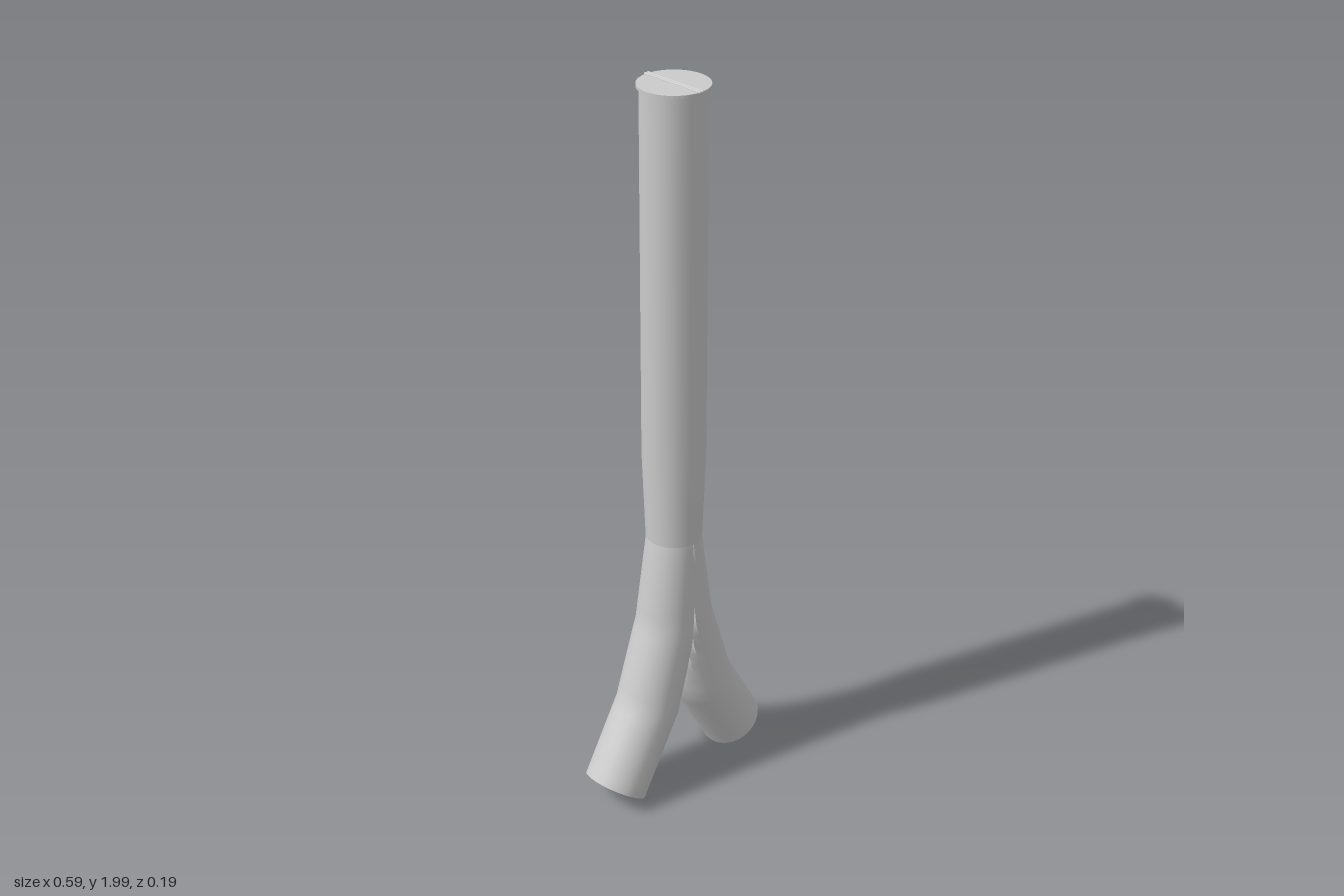
import * as THREE from 'three';
import { toCreasedNormals } from 'three/addons/utils/BufferGeometryUtils.js';

const SIDES = 24;
const WALL = 0.013;
const material = new THREE.MeshStandardMaterial({ color: 0xcccccc });

// Leg sections, top to bottom: centre x, centre y, radius, tilt
const SECTIONS = [
  [0, 0.76, 0.073, 0],
  [0.027, 0.505, 0.083, 0.2],
  [0.1, 0.267, 0.087, 0.42],
  [0.222, 0.057, 0.087, 0.586],
];
const STEPS = 8;

// Hollow bent leg, trimmed where it meets its twin on the centre plane
function legGeometry(side) {
  const rings = [];
  const last = (SECTIONS.length - 1) * STEPS;
  for (let i = 0; i <= last; i++) {
    const k = Math.min(Math.floor(i / STEPS), SECTIONS.length - 2);
    const t = i / STEPS - k;
    rings.push(SECTIONS[k].map((v, n) => THREE.MathUtils.lerp(v, SECTIONS[k + 1][n], t)));
  }
  // Down the outside, round the lip and back up the inside
  const inner = rings.map(([x, y, r, a]) => [x, y, r - WALL, a]).reverse();
  const path = [...rings, ...inner];

  const positions = [];
  const index = [];
  path.forEach(([x, y, r, a], i) => {
    for (let j = 0; j < SIDES; j++) {
      const angle = (j / SIDES) * Math.PI * 2;
      const u = r * Math.cos(angle);
      positions.push(side * Math.max(0, x + u * Math.cos(a)), y + u * Math.sin(a), r * Math.sin(angle));
      if (i === path.length - 1) continue;
      const p = i * SIDES + j;
      const q = i * SIDES + ((j + 1) % SIDES);
      if (side > 0) index.push(p, q, p + SIDES, q, q + SIDES, p + SIDES);
      else index.push(p, p + SIDES, q, q, p + SIDES, q + SIDES);
    }
  });
  const geometry = new THREE.BufferGeometry();
  geometry.setAttribute('position', new THREE.Float32BufferAttribute(positions, 3));
  geometry.setIndex(index);
  return toCreasedNormals(geometry, 0.6);
}

export function createModel() {
  const model = new THREE.Group();
  model.name = 'forkedTube';
  const add = (name, geometry) => {
    const mesh = new THREE.Mesh(geometry, material);
    mesh.name = name;
    model.add(mesh);
    return mesh;
  };

  // Straight hollow stem, narrowing towards the fork
  const profile = [
    [0.074, 0.76], [0.083, 1.0], [0.083, 1.99],
    [0.083 - WALL, 1.99], [0.083 - WALL, 1.0], [0.073 - WALL, 0.76], [0.074, 0.76],
  ].map(([x, y]) => new THREE.Vector2(x, y));
  add('stem', toCreasedNormals(new THREE.LatheGeometry(profile, SIDES), 0.6));

  for (const side of [1, -1]) {
    const label = side > 0 ? 'left' : 'right';
    add(label + 'Leg', legGeometry(side));

    // Half-disc flap closing the top
    const shape = new THREE.Shape();
    const start = side > 0 ? -Math.PI / 2 : Math.PI / 2;
    shape.absarc(0, 0, 0.09, start, start + Math.PI, false);
    const flap = new THREE.ExtrudeGeometry(shape, { depth: 0.008, bevelEnabled: false, curveSegments: 12 });
    flap.rotateX(-Math.PI / 2);
    add(label + 'Flap', flap).position.y = 1.988;

    // Rounded bead along the flap's straight edge
    const bead = new THREE.CapsuleGeometry(0.004, 0.18, 4, 10);
    bead.rotateX(Math.PI / 2);
    add(label + 'Bead', bead).position.set(side * 0.0045, 1.996, 0);
  }
  return model;
}
